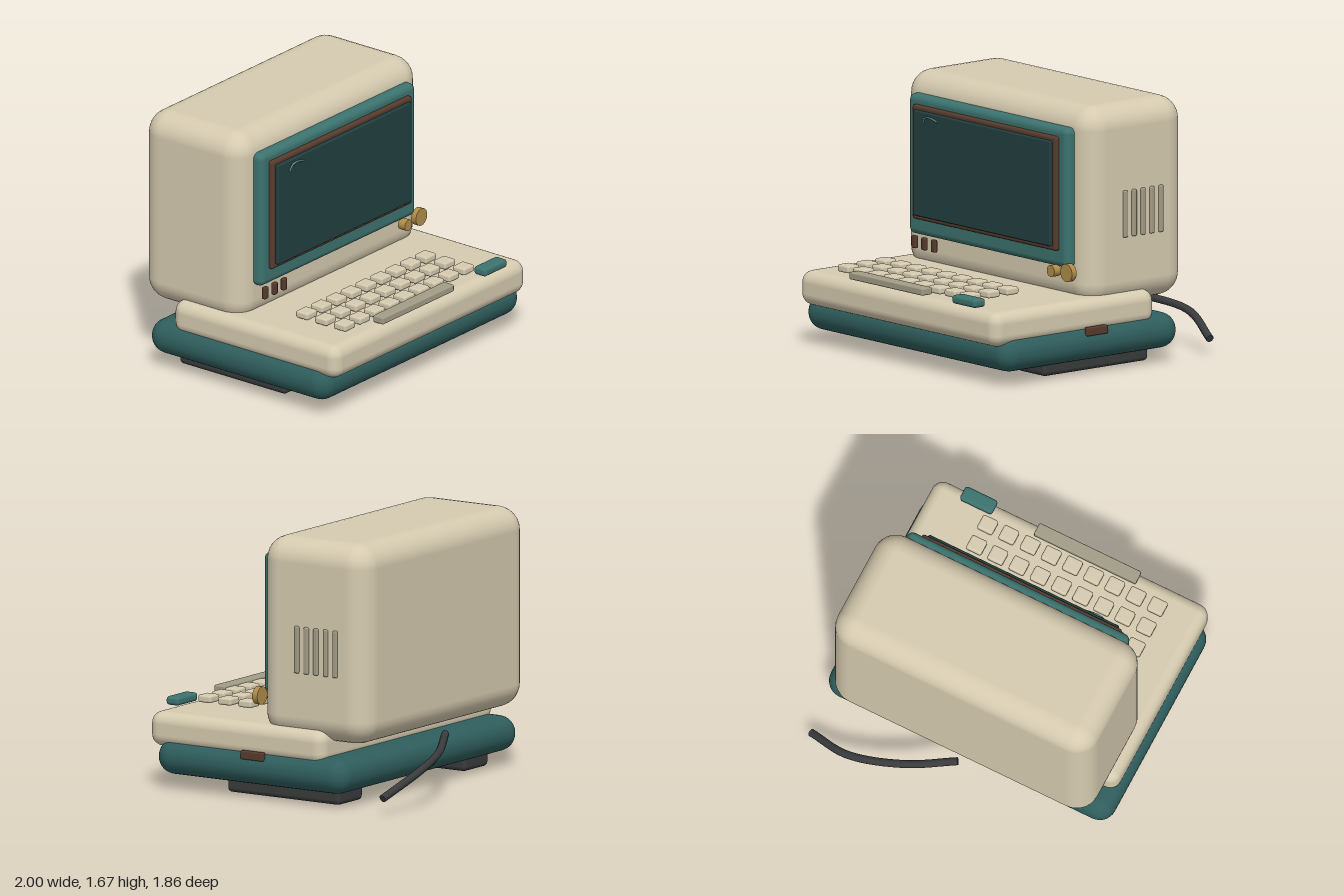
import * as THREE from 'three';
import { RoundedBoxGeometry } from 'three/addons/geometries/RoundedBoxGeometry.js';

const paint = (color) => new THREE.MeshStandardMaterial({ color });
const M = {
  beige: paint(0xd6cbb0), shade: paint(0xa39d87), base: paint(0x2f5e5d), teal: paint(0x3c736f),
  screen: paint(0x213f40), brown: paint(0x573b2d), gold: paint(0xb08d4a),
  rubber: paint(0x393b3c), glint: paint(0x6a9a92),
};

export function createModel() {
  const model = new THREE.Group();
  model.name = 'computerTerminal';

  const add = (name, geometry, material) => {
    const mesh = new THREE.Mesh(geometry, material);
    mesh.name = name;
    model.add(mesh);
    return mesh;
  };
  // Rounded box given by its [min, max] extent on each axis
  const block = (name, material, [x0, x1], [y0, y1], [z0, z1], radius, segments = 4) => {
    const geometry = new RoundedBoxGeometry(x1 - x0, y1 - y0, z1 - z0, segments, radius);
    add(name, geometry, material).position.set((x0 + x1) / 2, (y0 + y1) / 2, (z0 + z1) / 2);
  };
  const tube = (name, material, points, radius) => {
    const curve = new THREE.CatmullRomCurve3(points.map((p) => new THREE.Vector3(...p)));
    add(name, new THREE.TubeGeometry(curve, 24, radius, 10), material);
    // Closed ends
    for (const t of [0, 1]) {
      const cap = add(name + 'End', new THREE.CircleGeometry(radius, 10), material);
      const end = curve.getPoint(t);
      cap.position.copy(end);
      cap.lookAt(end.clone().addScaledVector(curve.getTangent(t), t ? 1 : -1));
    }
  };

  // Feet, base, keyboard deck and monitor housing
  for (const x of [-0.698, 0.698]) {
    block('foot', M.rubber, [x - 0.135, x + 0.135], [0, 0.12], [-0.435, 0.42], 0.03, 3);
  }
  block('base', M.base, [-1, 1], [0.09, 0.315], [-0.57, 0.87], 0.11);
  block('keyboardDeck', M.beige, [-0.965, 0.962], [0.26, 0.48], [-0.39, 0.93], 0.075);
  block('monitorHousing', M.beige, [-0.915, 0.915], [0.4, 1.675], [-0.682, 0.125], 0.15);

  // Stacked screen layers
  block('bezel', M.teal, [-0.78, 0.776], [0.65, 1.543], [0.09, 0.187], 0.04);
  block('screenFrame', M.brown, [-0.705, 0.7], [0.757, 1.485], [0.16, 0.216], 0.016, 3);
  block('screen', M.screen, [-0.672, 0.668], [0.785, 1.457], [0.19, 0.238], 0.01, 2);
  tube('screenGlint', M.glint,
    [[-0.565, 1.385, 0.243], [-0.545, 1.42, 0.247], [-0.5, 1.432, 0.247], [-0.425, 1.415, 0.243]], 0.006);

  // Indicator buttons and dials under the screen
  for (let i = 0; i < 3; i++) {
    const x = -0.725 + i * 0.094;
    block('indicator', M.brown, [x - 0.02, x + 0.02], [0.56, 0.64], [0.16, 0.188], 0.008, 2);
  }
  for (const [name, x, y, z, radius, depth] of [
    ['largeDial', 0.797, 0.633, 0.192, 0.057, 0.038],
    ['smallDial', 0.655, 0.625, 0.192, 0.037, 0.055],
  ]) {
    const dial = add(name, new THREE.CylinderGeometry(radius, radius, depth, 24), M.gold);
    dial.rotation.x = Math.PI / 2;
    dial.position.set(x, y, z);
  }

  // Keys
  for (let row = 0; row < 3; row++) {
    for (let col = 0; col < 9; col++) {
      const x = -0.667 + col * 0.149;
      const z = 0.46 + row * 0.152;
      block('key', M.beige, [x - 0.053, x + 0.053], [0.491, 0.538], [z - 0.049, z + 0.049], 0.014, 2);
    }
  }
  block('spaceBar', M.shade, [-0.476, 0.239], [0.491, 0.538], [0.837, 0.92], 0.01, 2);
  block('enterKey', M.teal, [0.535, 0.762], [0.49, 0.545], [0.835, 0.93], 0.02, 3);

  // Side vents and power switch
  for (let i = 0; i < 5; i++) {
    const z = -0.17 - i * 0.0725;
    block('vent', M.shade, [0.895, 0.929], [0.83, 1.13], [z - 0.0175, z + 0.0175], 0.01, 2);
  }
  block('powerSwitch', M.brown, [0.965, 1], [0.256, 0.312], [0.033, 0.205], 0.01, 2);

  // Rear cable
  tube('cable', M.rubber,
    [[0, 0.355, -0.67], [0.3, 0.293, -0.82], [0.65, 0.235, -0.908], [0.945, 0.105, -0.838]], 0.025);

  return model;
}
